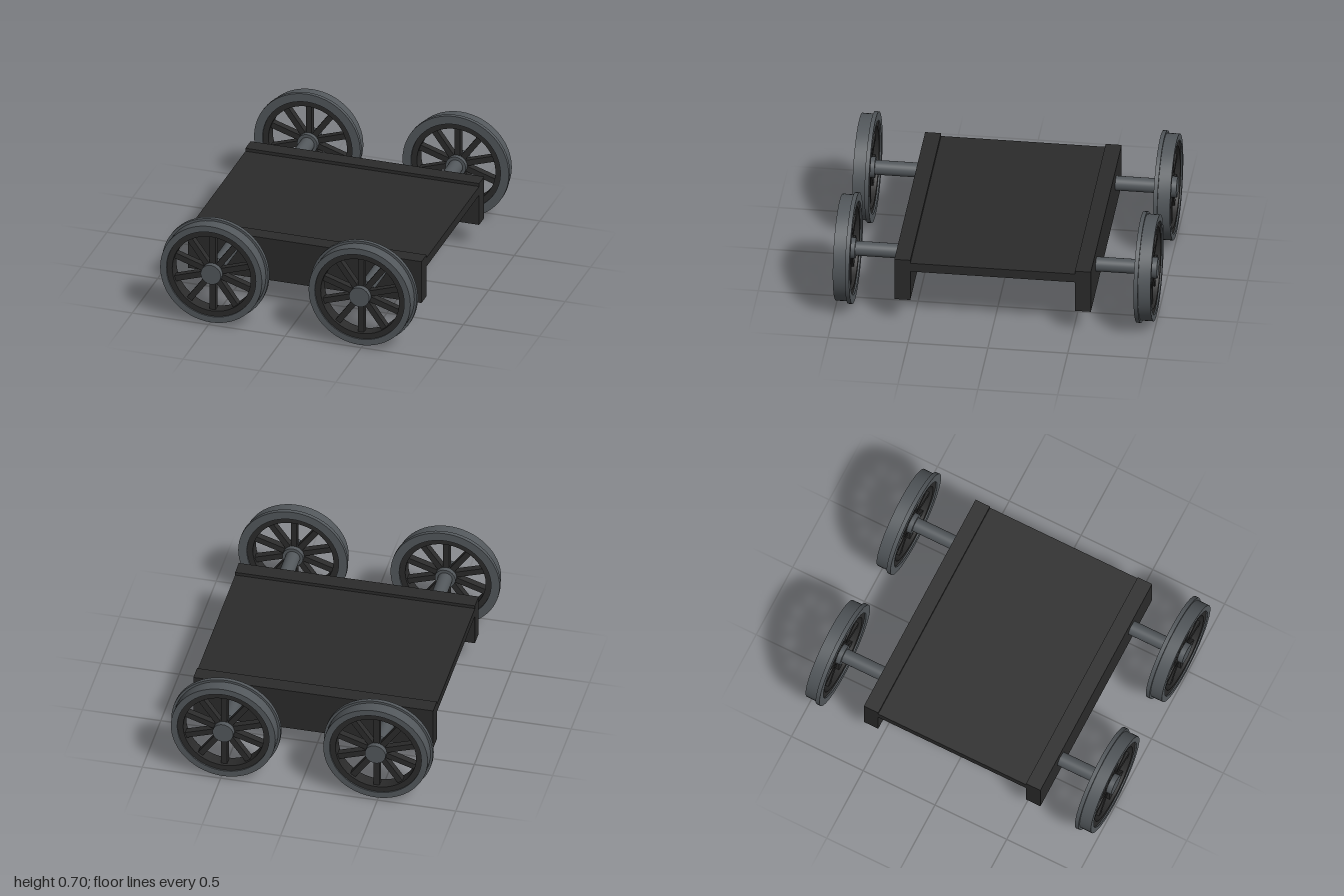
import * as THREE from 'three';
import { toCreasedNormals } from 'three/addons/utils/BufferGeometryUtils.js';

const WHEEL_R = 0.348, WHEEL_X = 0.486, SPOKES = 10;

export function createModel() {
  const black = new THREE.MeshStandardMaterial({ color: 0x2b2b2b });
  black.name = 'blackPaint';
  const steel = new THREE.MeshStandardMaterial({ color: 0x53585c });
  steel.name = 'steel';

  const model = new THREE.Group();
  model.name = 'wheeledChassis';

  const add = (parent, name, geometry, material, x = 0, y = 0, z = 0) => {
    const mesh = new THREE.Mesh(geometry, material);
    mesh.name = name;
    mesh.position.set(x, y, z);
    parent.add(mesh);
    return mesh;
  };

  // Ring around the z axis from a closed [radius, z] profile
  const ring = (profile) => {
    const points = [...profile, profile[0]].map(([r, z]) => new THREE.Vector2(r, z));
    return toCreasedNormals(new THREE.LatheGeometry(points, 64).rotateX(Math.PI / 2), 0.6);
  };
  const rod = (r, length) => new THREE.CylinderGeometry(r, r, length, 32).rotateX(Math.PI / 2);

  // Frame: flat deck between two deep side beams
  add(model, 'deck', new THREE.BoxGeometry(1.53, 0.06, 1.03), black, 0, 0.405, 0);
  for (const s of [1, -1]) {
    add(model, s > 0 ? 'frontBeam' : 'backBeam',
      new THREE.BoxGeometry(1.53, 0.288, 0.1), black, 0, 0.312, s * 0.565);
  }

  // Wheel parts, with the outer face towards +z
  const tyreGeo = ring([
    [0.293, 0.89], [WHEEL_R, 0.89], [WHEEL_R, 0.916], [0.333, 0.916], [0.333, 0.994], [0.293, 0.994],
  ]);
  const rimGeo = ring([[0.257, 0.9], [0.294, 0.9], [0.294, 0.985], [0.257, 0.985]]);
  const hubGeo = rod(0.066, 0.11);
  const spokeGeo = new THREE.BoxGeometry(0.038, 0.215, 0.045).translate(0, 0.162, 0.943);

  const makeWheel = (name) => {
    const wheel = new THREE.Group();
    wheel.name = name;
    add(wheel, 'tyre', tyreGeo, steel);
    add(wheel, 'innerRim', rimGeo, black);
    add(wheel, 'hub', hubGeo, steel, 0, 0, 0.945);
    for (let i = 0; i < SPOKES; i++) {
      add(wheel, 'spoke', spokeGeo, black).rotation.z = (i / SPOKES) * Math.PI * 2;
    }
    return wheel;
  };

  // Two axles, each with a wheel at both ends
  for (const side of [1, -1]) {
    const axleSet = new THREE.Group();
    axleSet.name = side > 0 ? 'leftAxleSet' : 'rightAxleSet';
    axleSet.position.set(side * WHEEL_X, WHEEL_R, 0);
    add(axleSet, 'axle', rod(0.046, 1.9), steel);
    const frontWheel = makeWheel('frontWheel');
    const backWheel = makeWheel('backWheel');
    backWheel.rotation.y = Math.PI;
    axleSet.add(frontWheel, backWheel);
    model.add(axleSet);
  }
  return model;
}
